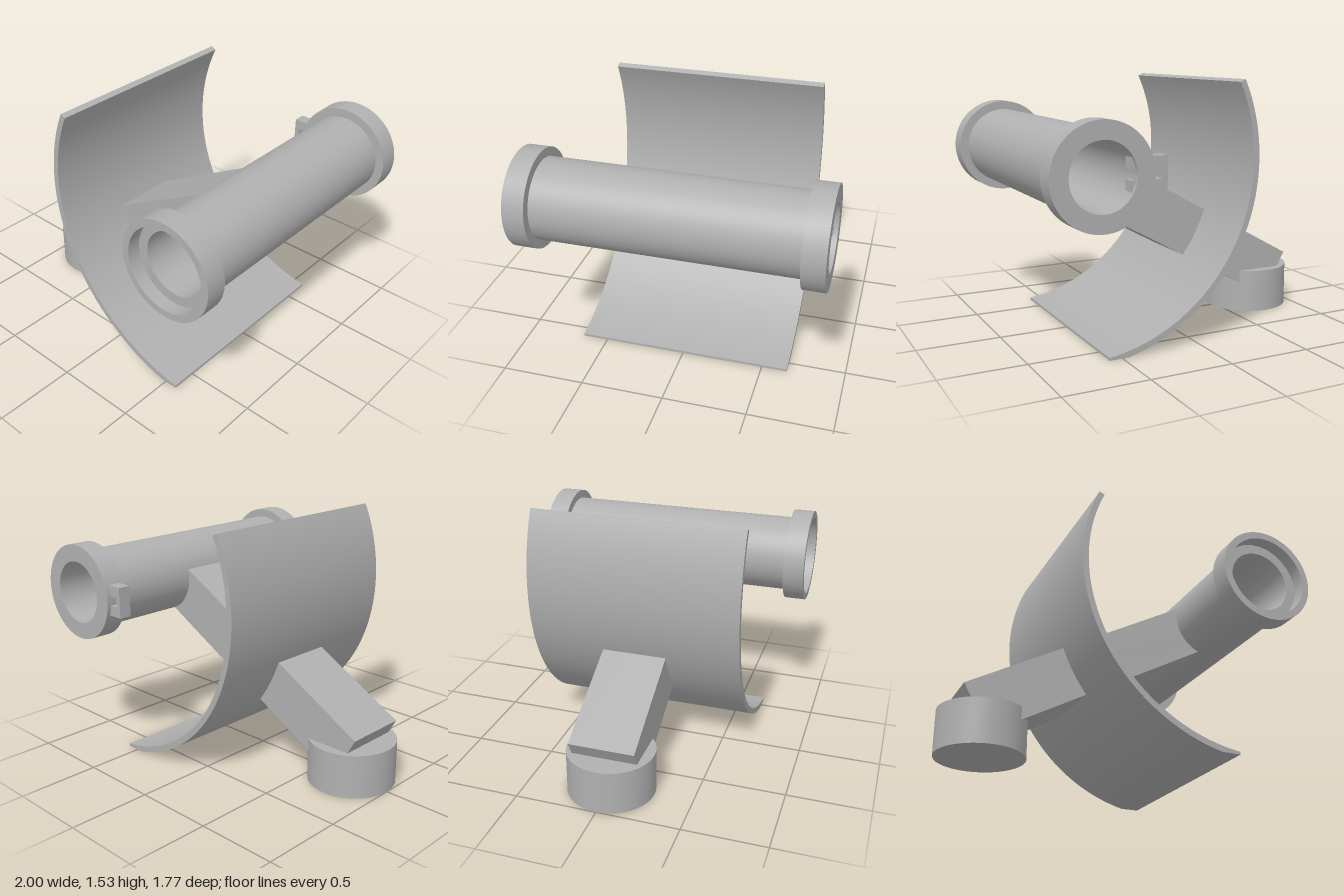
import * as THREE from 'three';
import { toCreasedNormals } from 'three/addons/utils/BufferGeometryUtils.js';

const AX = 0.706, AY = 1.064; // shared axis of the tube and the curved shield

export function createModel() {
  const group = new THREE.Group();
  const grey = new THREE.MeshStandardMaterial({ color: 0xb0b0b0 });
  grey.name = 'plain grey';

  function add(name, geometry) {
    const mesh = new THREE.Mesh(toCreasedNormals(geometry, 0.5), grey);
    mesh.name = name;
    group.add(mesh);
    return mesh;
  }
  // Side profile in x, y extruded between two depths
  function slab(name, points, z0, z1) {
    const shape = new THREE.Shape(points.map(([x, y]) => new THREE.Vector2(x, y)));
    const g = new THREE.ExtrudeGeometry(shape, { depth: z1 - z0, bevelEnabled: false });
    return add(name, g.translate(0, 0, z0));
  }
  // Points along an arc around the shared axis
  function arc(r, a0, a1, n) {
    return Array.from({ length: n + 1 }, (_, i) => {
      const a = a0 + ((a1 - a0) * i) / n;
      return [AX + r * Math.cos(a), AY + r * Math.sin(a)];
    });
  }

  // Round foot
  add('foot', new THREE.CylinderGeometry(0.265, 0.265, 0.27, 64)).position.set(-0.735, 0.135, 0);

  // Sloping arm, its upper end buried in the tube wall
  slab('arm', [
    [-0.905, 0.36], [-0.752, 0.085], [0.637, 0.852],
    ...arc(0.215, -1.9, -3.4, 10), [0.487, 1.13],
  ], -0.2, 0.2);

  // Curved shield, trimmed flat at the ground and upright at its lower tip
  const rOut = 1.091, rIn = 1.055, top = 2.7;
  const cutOut = Math.PI + Math.asin(AY / rOut);
  const cutIn = Math.PI * 1.5 - Math.asin((AX - 0.58) / rIn);
  slab('shield', [
    ...arc(rOut, top, cutOut, 60), [0.58, 0], ...arc(rIn, cutIn, top, 60),
  ], -0.655, 0.655);

  // Hollow tube with a collar at each end and a recess in the front collar
  const profile = [
    [0.19, -0.885], [0.293, -0.885], [0.293, -0.755], [0.24, -0.755],
    [0.24, 0.755], [0.293, 0.755], [0.293, 0.885], [0.25, 0.885],
    [0.25, 0.805], [0.19, 0.805], [0.19, -0.885],
  ].map(([r, y]) => new THREE.Vector2(r, y));
  const tube = new THREE.LatheGeometry(profile, 80).rotateX(Math.PI / 2);
  add('tube', tube).position.set(AX, AY, 0);

  // Small open loop through the rear collar
  slab('loop', [
    [0.33, 0.97], [0.54, 0.97], [0.54, 1.033], [0.36, 1.033],
    [0.36, 1.092], [0.54, 1.092], [0.54, 1.155], [0.33, 1.155],
  ], -0.86, -0.785);

  return group;
}
